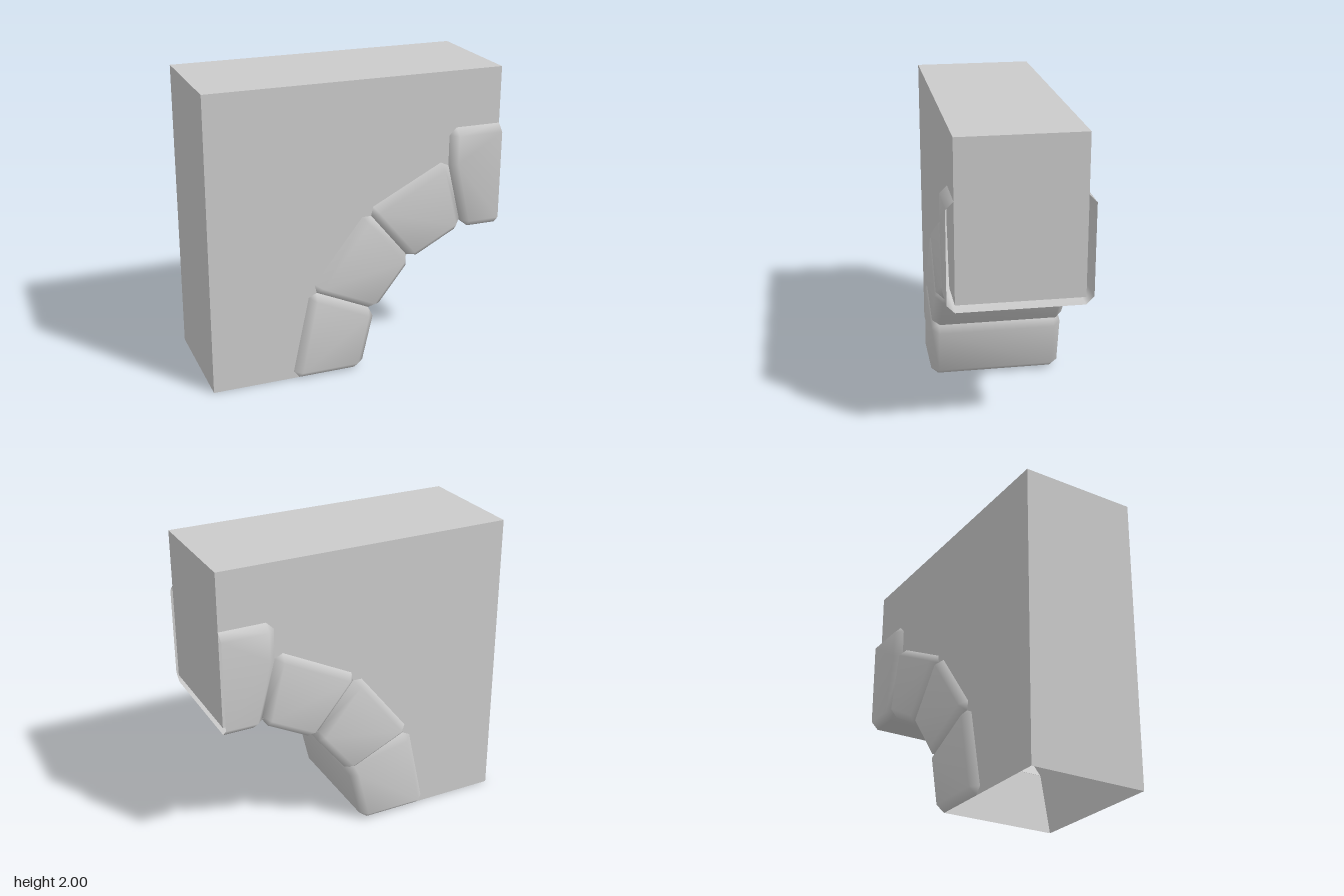
import * as THREE from 'three';

const mat = new THREE.MeshStandardMaterial({ color: 0xcccccc, side: THREE.DoubleSide });
const WALL_Z = 0.4, STONE_Z = 0.45, BEVEL = 0.05;

// Stone corners run counter-clockwise: outer, inner, inner, outer.
// A corner with four numbers is left unbevelled; the last two place its raised face point.
const stones = [
  [[-0.46, 0], [0.03, 0], [0.125, 0.413], [-0.33, 0.62]],
  [[-0.33, 0.62], [0.125, 0.413], [0.38, 0.74], [0.063, 1.125]],
  [[0.063, 1.125], [0.38, 0.74], [0.745, 0.933], [0.628, 1.415]],
  [[0.64, 1.37, 0.69, 1.38], [0.745, 0.92], [1, 0.92, 1, 0.97], [1, 1.62, 1, 1.57], [0.64, 1.62]],
];

// Wall block with the stepped arch cut out, open underneath
function wallGeometry() {
  const outline = [[-1, 0], [-0.02, 0], [0.08, 0.433], [0.352, 0.775], [0.734, 0.97], [1, 0.97], [1, 2], [-1, 2]];
  const shape = new THREE.Shape(outline.map(([x, y]) => new THREE.Vector2(x, y)));
  const geo = new THREE.ExtrudeGeometry(shape, { depth: 2 * WALL_Z, bevelEnabled: false });
  geo.translate(0, 0, -WALL_Z);
  const p = geo.attributes.position, kept = [];
  for (let i = 0; i < p.count; i += 3) {
    if (Math.max(p.getY(i), p.getY(i + 1), p.getY(i + 2)) > 1e-4) kept.push(i, i + 1, i + 2);
  }
  geo.setIndex(kept);
  return geo;
}

// Bevelled arch stone: raised front and back faces joined by the underside
function stoneGeometry(corners) {
  const n = corners.length, pos = [], index = [];
  const step = (c, d) => {
    const dx = d[0] - c[0], dy = d[1] - c[1], l = Math.hypot(dx, dy);
    return [c[0] + BEVEL * dx / l, c[1] + BEVEL * dy / l];
  };
  const rings = corners.map((c, i) => {
    if (c.length === 4) return { a: c, b: c, face: [c[2], c[3]], flat: true };
    const a = step(c, corners[(i + n - 1) % n]), b = step(c, corners[(i + 1) % n]);
    return { a, b, face: [a[0] + b[0] - c[0], a[1] + b[1] - c[1]], flat: false };
  });
  const ids = [1, -1].map(s => rings.map(r => {
    const add = (p, z) => pos.push(p[0], p[1], s * z) / 3 - 1;
    const a = add(r.a, WALL_Z);
    return { a, b: r.flat ? a : add(r.b, WALL_Z), face: add(r.face, STONE_Z) };
  }));
  ids.forEach((side, back) => {
    const tri = (a, b, c) => (back ? index.push(a, c, b) : index.push(a, b, c));
    for (let i = 0; i < n; i++) {
      const p = side[i], q = side[(i + 1) % n];
      if (i > 0 && i < n - 1) tri(side[0].face, p.face, q.face);
      if (!rings[i].flat) tri(p.a, p.b, p.face);
      // the half keystone stays open where it is cut
      if (corners[i][0] === 1 && corners[(i + 1) % n][0] === 1) continue;
      tri(p.b, q.a, q.face);
      tri(p.b, q.face, p.face);
    }
  });
  // Underside with its two bevels
  const [F, B] = ids;
  const band = (f0, f1, b0, b1) => {
    if (f0 !== f1) index.push(b0, b1, f1, b0, f1, f0);
  };
  band(F[1].a, F[1].b, B[1].a, B[1].b);
  band(F[1].b, F[2].a, B[1].b, B[2].a);
  band(F[2].a, F[2].b, B[2].a, B[2].b);

  const geo = new THREE.BufferGeometry();
  geo.setAttribute('position', new THREE.Float32BufferAttribute(pos, 3));
  geo.setIndex(index);
  geo.computeVertexNormals();
  return geo;
}

export function createModel() {
  const group = new THREE.Group();
  group.name = 'halfArch';
  const add = (name, geo) => {
    const mesh = new THREE.Mesh(geo, mat);
    mesh.name = name;
    group.add(mesh);
  };
  add('wall', wallGeometry());
  stones.forEach((c, i) => add(i === 3 ? 'keystone' : `archStone${i + 1}`, stoneGeometry(c)));
  return group;
}
